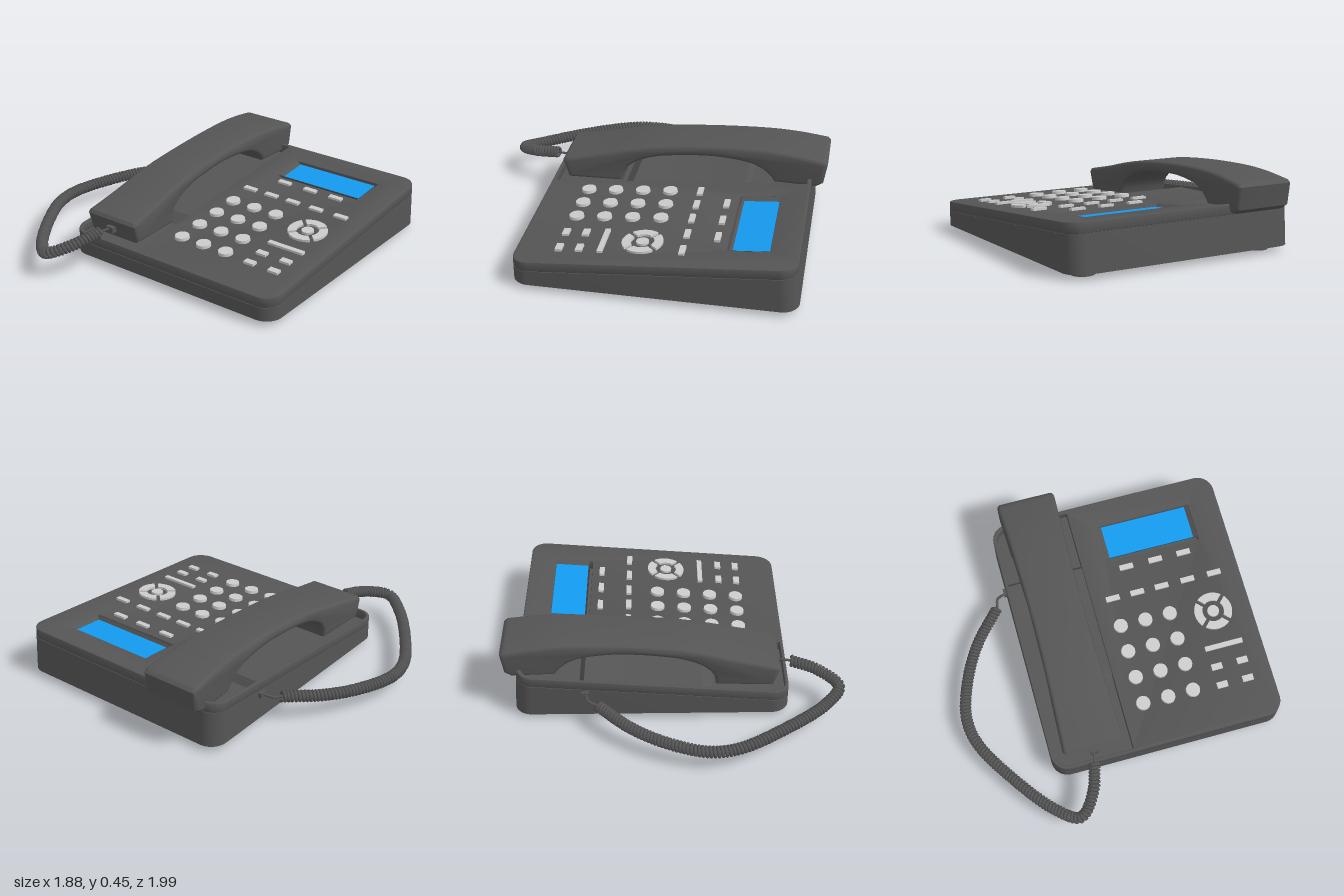
import * as THREE from 'three';
import { toCreasedNormals } from 'three/addons/utils/BufferGeometryUtils.js';

const SLOPE = 0.083;
const topY = (z) => 0.17 + (0.66 - z) * SLOPE; // sloping top plane of the base
const V3 = (x, y, z) => new THREE.Vector3(x, y, z);
const pts = (list) => list.map(([a, b]) => new THREE.Vector2(a, b));

const dark = new THREE.MeshStandardMaterial({ color: 0x555555 });
const light = new THREE.MeshStandardMaterial({ color: 0xcccccc });
const blue = new THREE.MeshStandardMaterial({ color: 0x149aee });
const darkDouble = new THREE.MeshStandardMaterial({ color: 0x555555, side: THREE.DoubleSide });

function add(parent, name, geometry, material, x = 0, y = 0, z = 0) {
  const mesh = new THREE.Mesh(geometry, material);
  mesh.name = name;
  mesh.position.set(x, y, z);
  parent.add(mesh);
  return mesh;
}

// Moves every vertex by a rule, then smooths all but the sharp edges
function reshape(geometry, rule) {
  const p = geometry.attributes.position;
  const v = V3(0, 0, 0);
  for (let i = 0; i < p.count; i++) {
    rule(v.fromBufferAttribute(p, i));
    p.setXYZ(i, v.x, v.y, v.z);
  }
  geometry.computeVertexNormals();
  return toCreasedNormals(geometry, 0.6);
}

// Rounded plan outline, with separate radii on the -x and +x corners
function outline(x0, x1, z0, z1, rl, rr, Type = THREE.Shape) {
  const s = new Type();
  const [b, t] = [-z1, -z0];
  const q = Math.PI / 2;
  s.absarc(x1 - rr, b + rr, rr, -q, 0, false);
  s.absarc(x1 - rr, t - rr, rr, 0, q, false);
  s.absarc(x0 + rl, t - rl, rl, q, 2 * q, false);
  s.absarc(x0 + rl, b + rl, rl, 2 * q, 3 * q, false);
  s.closePath();
  return s;
}

const extrudeUp = (shape, options) =>
  new THREE.ExtrudeGeometry(shape, { curveSegments: 8, bevelEnabled: false, ...options }).rotateX(-Math.PI / 2);

// Side profile in (z, y), extruded across x from x1 down to x0
const extrudeAcross = (shape, x0, x1, bevel = 0) =>
  new THREE.ExtrudeGeometry(shape, {
    depth: x1 - x0 - 2 * bevel, curveSegments: 4, bevelEnabled: bevel > 0,
    bevelSize: bevel, bevelThickness: bevel, bevelOffset: -bevel, bevelSegments: 4,
  }).rotateY(-Math.PI / 2).translate(x1 - bevel, 0, 0);

function buildBase(parent) {
  const base = new THREE.Group();
  base.name = 'base';
  parent.add(base);
  const LIP = 0.06;
  const lean = (v) => { if (v.z < -0.5) v.z += (v.y - 0.03) * 0.07; };

  // Lower shell, wedge shaped
  const lower = extrudeUp(outline(-0.48, 0.94, -0.93, 0.665, 0.1, 0.1), { depth: 1 });
  add(base, 'lowerShell', reshape(lower, (v) => {
    v.y = 0.03 + v.y * (topY(v.z) - LIP - 0.03);
    lean(v);
  }), dark);

  // Upper shell with openings for the cradle and the screen
  const plan = outline(-0.48, 0.94, -0.93, 0.665, 0.1, 0.1);
  plan.holes.push(
    outline(-0.46, 0.005, -0.905, 0.645, 0.085, 0.01, THREE.Path),
    outline(0.165, 0.755, -0.765, -0.53, 0.005, 0.005, THREE.Path),
  );
  const e = 0.006;
  const upper = extrudeUp(plan, {
    depth: LIP - 2 * e, bevelEnabled: true, bevelSize: e, bevelThickness: e, bevelOffset: -e, bevelSegments: 2,
  });
  add(base, 'upperShell', reshape(upper, (v) => {
    v.y += e + topY(v.z) - LIP;
    lean(v);
  }), dark);

  // Raised bridge between the two cradle wells
  const bridge = new THREE.Shape(pts([
    [0.22, topY(0.22) - LIP], [0.16, topY(0.16) - 0.012], [-0.05, topY(-0.05) - 0.022],
    [-0.3, topY(-0.3) - 0.022], [-0.52, topY(-0.52) - 0.012], [-0.55, topY(-0.55) - LIP],
  ]));
  add(base, 'cradleBridge', extrudeAcross(bridge, -0.465, 0.008), dark);

  // Feet
  for (const x of [-0.33, 0.8]) {
    for (const z of [-0.79, 0.53]) {
      add(base, 'foot', new THREE.CylinderGeometry(0.066, 0.066, 0.036, 28), dark, x, 0.018, z);
    }
  }
}

function buildControls(parent) {
  // Everything here lies on the tilted panel
  const panel = new THREE.Group();
  panel.name = 'controlPanel';
  panel.position.set(0, 0.17, 0.66);
  panel.rotation.x = Math.atan(SLOPE);
  parent.add(panel);
  const pz = (z) => (z - 0.66) * Math.hypot(1, SLOPE);

  // Screen with a sloping surround
  const surround = new THREE.CylinderGeometry(Math.SQRT1_2, Math.SQRT1_2 * 0.9, 0.022, 4, 1, true)
    .rotateY(Math.PI / 4).scale(0.59, 1, 0.237).toNonIndexed();
  surround.computeVertexNormals();
  add(panel, 'screenSurround', surround, darkDouble, 0.46, -0.011, pz(-0.6475));
  add(panel, 'screen', new THREE.BoxGeometry(0.54, 0.02, 0.215), blue, 0.46, -0.028, pz(-0.6475));

  // Flat keys
  const bar = (name, x, z, w, d) =>
    add(panel, name, new THREE.BoxGeometry(w, 0.024, d), light, x, 0.003, pz(z));
  for (const x of [0.27, 0.455, 0.635]) bar('screenKey', x, -0.45, 0.085, 0.033);
  for (const x of [0.135, 0.29, 0.445, 0.61, 0.78]) bar('functionKey', x, -0.275, 0.085, 0.033);
  bar('wideKey', 0.705, 0.18, 0.235, 0.03);
  for (const x of [0.625, 0.785]) {
    for (const z of [0.3, 0.415]) bar('smallKey', x, z, 0.066, 0.038);
  }

  // Round number keys
  for (const x of [0.135, 0.29, 0.445]) {
    for (const z of [-0.095, 0.07, 0.235, 0.4]) {
      add(panel, 'numberKey', new THREE.CylinderGeometry(0.042, 0.045, 0.03, 28), light, x, 0.003, pz(z));
    }
  }

  // Four-way ring around a centre key
  for (let i = 0; i < 4; i++) {
    const a = i * Math.PI / 2;
    const s = new THREE.Shape();
    s.absarc(0, 0, 0.116, a - 0.69, a + 0.69, false);
    s.absarc(0, 0, 0.066, a + 0.62, a - 0.62, true);
    s.closePath();
    add(panel, 'arrowKey', extrudeUp(s, { depth: 0.022 }), light, 0.705, -0.007, pz(-0.04));
  }
  add(panel, 'centreKey', new THREE.CylinderGeometry(0.036, 0.036, 0.026, 24), light, 0.705, 0.002, pz(-0.04));
}

function buildHandset(parent) {
  const s = new THREE.Shape();
  s.moveTo(0.575, 0.165);
  s.lineTo(0.61, 0.28);
  s.lineTo(0.595, 0.298);
  s.splineThru(pts([[0.4, 0.338], [0.2, 0.385], [0, 0.42], [-0.3, 0.446], [-0.6, 0.455], [-0.8, 0.445], [-0.98, 0.42]]));
  s.lineTo(-1, 0.402);
  s.lineTo(-0.98, 0.275);
  s.lineTo(-0.94, 0.25);
  s.lineTo(-0.69, 0.25);
  s.splineThru(pts([[-0.66, 0.29], [-0.6, 0.335], [-0.5, 0.366], [-0.29, 0.38], [0, 0.352], [0.14, 0.308], [0.21, 0.26]]));
  s.lineTo(0.235, 0.215);
  s.lineTo(0.24, 0.165);
  s.closePath();
  // Narrower at the grip than at the ends
  const geometry = reshape(extrudeAcross(s, -0.408, -0.045, 0.025), (v) => {
    const k = Math.sin(Math.PI * THREE.MathUtils.clamp((v.z + 1) / 1.6, 0, 1));
    v.x = -0.227 + (v.x + 0.227) * (1 - 0.13 * k);
  });
  add(parent, 'handset', geometry, dark);
}

// Helix wound around a path
class Coil extends THREE.Curve {
  constructor(path, radius, turns) {
    super();
    Object.assign(this, { path, radius, turns });
  }
  getUtoTmapping(u) { return u; }
  getPoint(t, target = V3(0, 0, 0)) {
    const along = this.path.getTangentAt(t);
    const side = V3(0, 1, 0).cross(along).normalize();
    const up = along.clone().cross(side);
    const a = t * this.turns * Math.PI * 2;
    return target.copy(this.path.getPointAt(t))
      .addScaledVector(side, Math.cos(a) * this.radius)
      .addScaledVector(up, Math.sin(a) * this.radius);
  }
}

function buildCord(parent) {
  const cord = new THREE.Group();
  cord.name = 'cord';
  parent.add(cord);
  const run = [
    V3(-0.245, 0.225, 0.685), V3(-0.295, 0.195, 0.84), V3(-0.4, 0.155, 0.957), V3(-0.53, 0.13, 0.87),
    V3(-0.74, 0.12, 0.6), V3(-0.88, 0.113, 0.35), V3(-0.905, 0.115, 0.18), V3(-0.84, 0.125, -0.05),
    V3(-0.73, 0.14, -0.25), V3(-0.56, 0.16, -0.44),
  ];
  const coil = new Coil(new THREE.CatmullRomCurve3(run), 0.026, 96);
  add(cord, 'coiledCord', new THREE.TubeGeometry(coil, 1344, 0.0105, 6), dark);

  // Straight leads and core
  const core = new THREE.CatmullRomCurve3([
    V3(-0.225, 0.225, 0.58), ...run, V3(-0.545, 0.175, -0.49), V3(-0.47, 0.185, -0.515),
  ]);
  add(cord, 'cordCore', new THREE.TubeGeometry(core, 120, 0.008, 6), dark);
  add(cord, 'handsetPlug', new THREE.BoxGeometry(0.05, 0.035, 0.05), dark, -0.225, 0.222, 0.6);
  add(cord, 'basePlug', new THREE.BoxGeometry(0.04, 0.03, 0.045), dark, -0.478, 0.185, -0.515);
}

export function createModel() {
  const phone = new THREE.Group();
  phone.name = 'deskPhone';
  buildBase(phone);
  buildControls(phone);
  buildHandset(phone);
  buildCord(phone);
  return phone;
}
